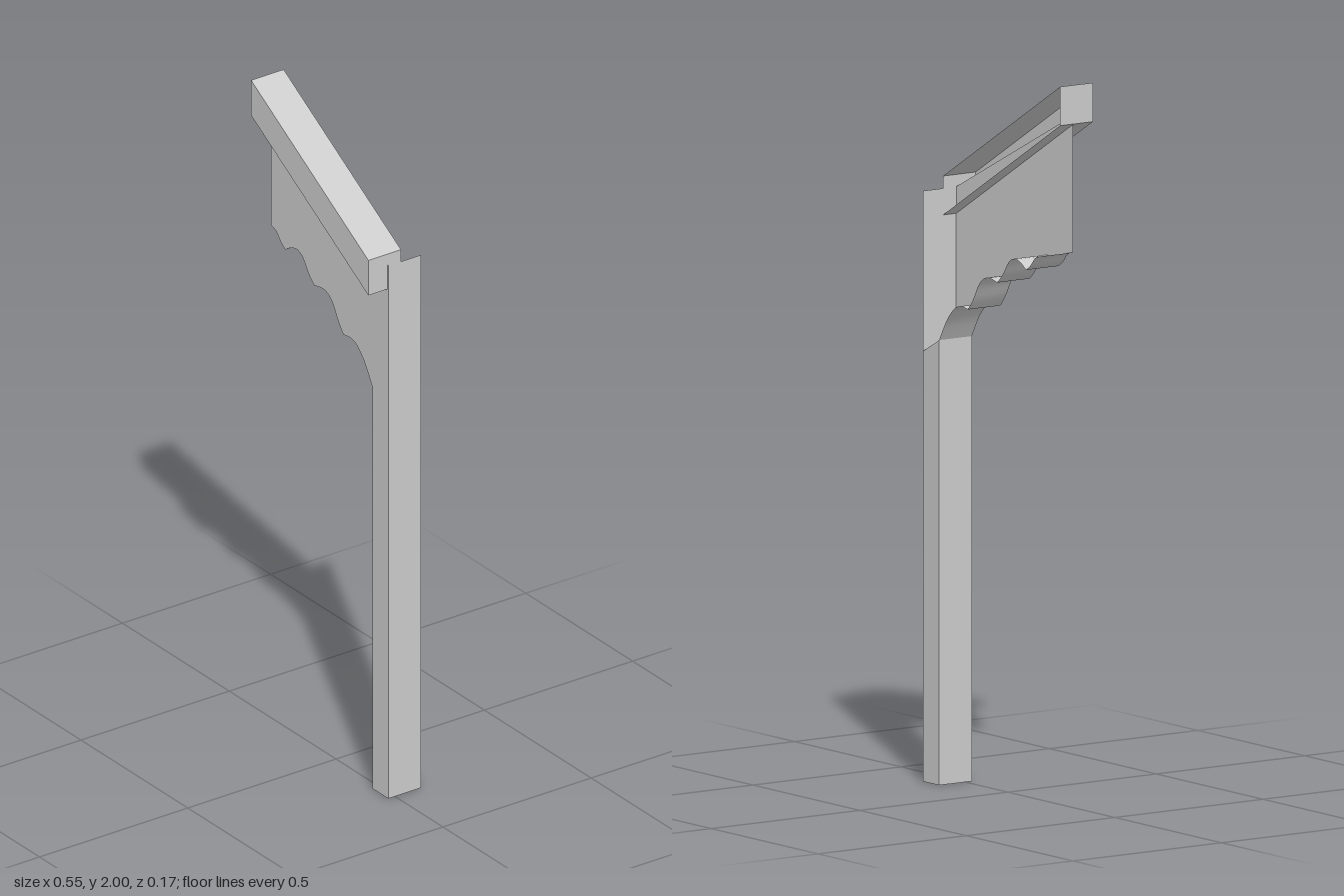
import * as THREE from 'three';
import { toCreasedNormals } from 'three/addons/utils/BufferGeometryUtils.js';

const FRONT = 0.022, BACK = -0.088;          // depth of the post and the soffit
const INNER = 0.2, OUTER = 0.275, END = -0.275;
const material = new THREE.MeshStandardMaterial({ color: 0xcccccc, side: THREE.DoubleSide });
const v = (x, y) => new THREE.Vector2(x, y);

// Strip that sweeps an x-y path from z0 to z1
function ribbon(path, z0, z1) {
  const pos = [], idx = [];
  path.forEach((p, i) => {
    pos.push(p.x, p.y, z0, p.x, p.y, z1);
    const a = 2 * i;
    if (i) idx.push(a - 2, a - 1, a, a - 1, a + 1, a);
  });
  const g = new THREE.BufferGeometry();
  g.setAttribute('position', new THREE.Float32BufferAttribute(pos, 3));
  g.setIndex(idx);
  return toCreasedNormals(g, 0.5);
}

// Flat face with an x-y outline at depth z
const face = (points, z) => new THREE.ShapeGeometry(new THREE.Shape(points)).translate(0, 0, z);

export function createModel() {
  const model = new THREE.Group();
  const add = (name, geometry, parent = model) => {
    const mesh = new THREE.Mesh(geometry, material);
    mesh.name = name;
    parent.add(mesh);
  };

  // Scalloped lower edge: a half lobe, then three lobes stepping down to the post
  const lobes = [
    [v(END, 1.535), v(-0.25, 1.527), v(-0.228, 1.503), v(-0.207, 1.488)],
    [v(-0.207, 1.488), v(-0.18, 1.505), v(-0.15, 1.511), v(-0.125, 1.498), v(-0.1, 1.462), v(-0.072, 1.434)],
    [v(-0.072, 1.434), v(-0.04, 1.441), v(-0.01, 1.437), v(0.015, 1.415), v(0.04, 1.372), v(0.065, 1.34)],
    [v(0.065, 1.34), v(0.1, 1.344), v(0.13, 1.332), v(0.165, 1.295), v(INNER, 1.236)],
  ];
  const scallop = lobes.flatMap((l, i) => new THREE.SplineCurve(l).getPoints(12).slice(i ? 1 : 0));

  // Front face of the panel and post in one sheet
  add('frontPanel', face([...scallop, v(INNER, 0), v(OUTER, 0), v(OUTER, 1.64), v(END, 1.915)], FRONT));

  // Soffit under the panel
  add('scallopedSoffit', ribbon(scallop, BACK, FRONT));

  // Post: closed box below, single outer wall above
  const post = new THREE.Group();
  post.name = 'post';
  model.add(post);
  const inTop = v(INNER, 1.236), outTop = v(OUTER, 1.195);
  add('postSides', ribbon([inTop, v(INNER, 0), v(OUTER, 0), v(OUTER, 1.64)], BACK, FRONT), post);
  add('postCap', ribbon([inTop, outTop], BACK, FRONT), post);
  add('postBack', face([inTop, v(INNER, 0), v(OUTER, 0), outTop], BACK), post);

  // Sloping rail, open at the back
  const rail = new THREE.Group();
  rail.name = 'slopingRail';
  model.add(rail);
  const outline = [v(-0.277, 2), v(-0.277, 1.892), v(0.272, 1.567), v(0.272, 1.675)];
  add('railSides', ribbon([...outline, outline[0]], -0.023, 0.087), rail);
  add('railFront', face(outline, 0.087), rail);

  return model;
}
